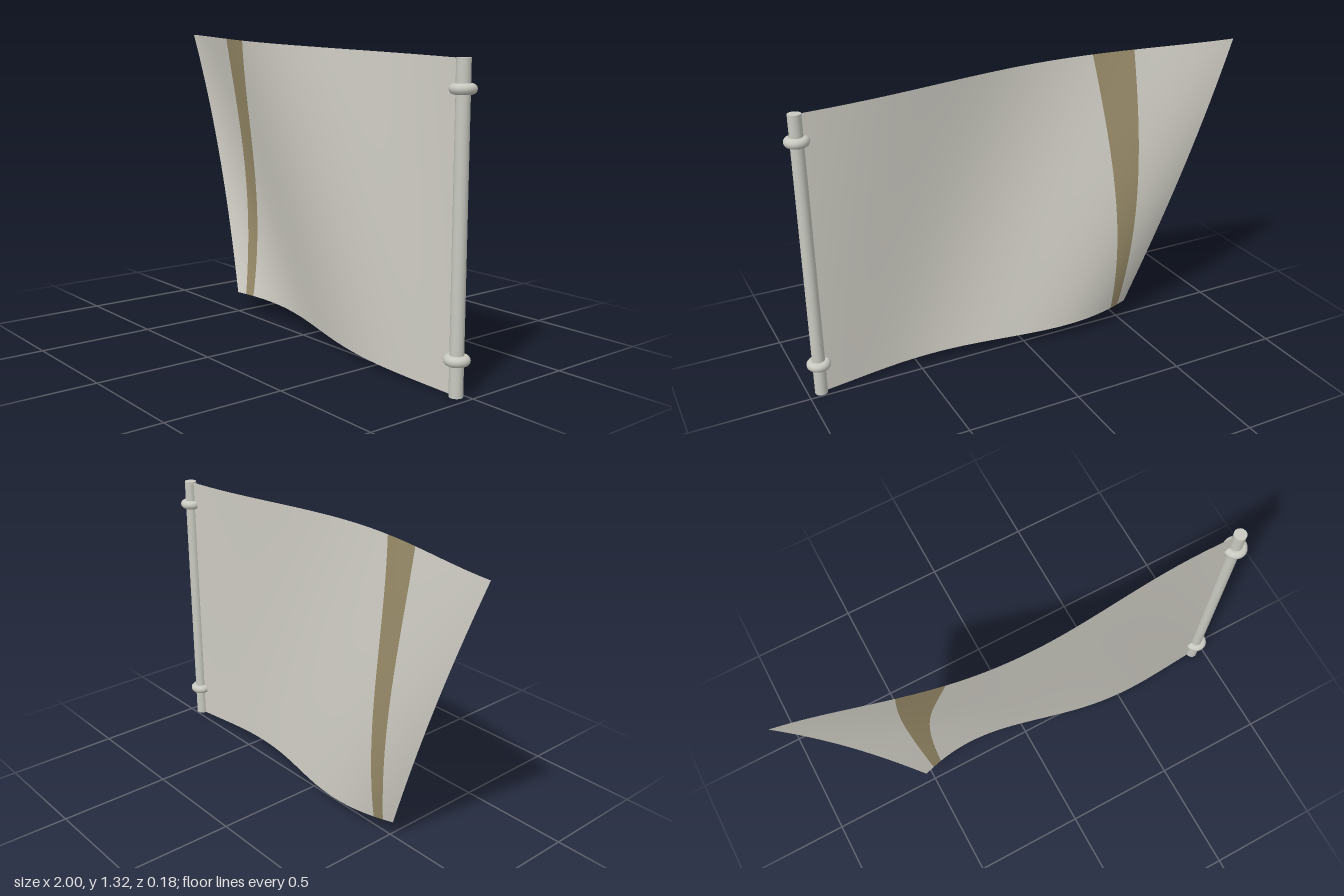
import * as THREE from 'three';

const POLE_X = 0.945, POLE_Z = 0.031, POLE_H = 1.235;

// Point on the waving cloth: u runs from pole to free edge, v from bottom to top
function clothPoint(u, v) {
  const x = POLE_X - u * (1.475 + 0.47 * v);
  const y = v * 1.232 + 0.083 * u;
  const z = POLE_Z + 0.12 * u * Math.sin(5 * u + 0.87 - 1.47 * v);
  return [x, y, z];
}

// Cloth panel between two slanted boundaries, each giving u for a height v
function clothPanel(from, to, columns, rows = 40) {
  const positions = [], index = [];
  for (let i = 0; i <= columns; i++) {
    for (let j = 0; j <= rows; j++) {
      const v = j / rows;
      positions.push(...clothPoint(THREE.MathUtils.lerp(from(v), to(v), i / columns), v));
    }
  }
  for (let i = 0; i < columns; i++) {
    for (let j = 0; j < rows; j++) {
      const a = i * (rows + 1) + j, b = a + rows + 1;
      index.push(a, a + 1, b, b, a + 1, b + 1);
    }
  }
  const geometry = new THREE.BufferGeometry();
  geometry.setAttribute('position', new THREE.Float32BufferAttribute(positions, 3));
  geometry.setIndex(index);
  geometry.computeVertexNormals();
  return geometry;
}

export function createModel() {
  const clothGrey = new THREE.MeshStandardMaterial({ color: 0xcfcdc4, side: THREE.DoubleSide });
  clothGrey.name = 'clothGrey';
  const stripeBrown = new THREE.MeshStandardMaterial({ color: 0x988b69, side: THREE.DoubleSide });
  stripeBrown.name = 'stripeBrown';
  const poleGrey = new THREE.MeshStandardMaterial({ color: 0xc8c9c0 });
  poleGrey.name = 'poleGrey';

  const model = new THREE.Group();
  model.name = 'flag';
  const add = (name, geometry, material, x = 0, y = 0, z = 0) => {
    const mesh = new THREE.Mesh(geometry, material);
    mesh.name = name;
    mesh.position.set(x, y, z);
    model.add(mesh);
    return mesh;
  };

  // Cloth in three panels, the slanted stripe between the two grey ones
  const stripeInner = v => 0.939 - 0.265 * v;
  const stripeOuter = v => 0.969 - 0.2 * v;
  add('clothMain', clothPanel(() => 0, stripeInner, 50), clothGrey);
  add('clothStripe', clothPanel(stripeInner, stripeOuter, 10), stripeBrown);
  add('clothFreeEnd', clothPanel(stripeOuter, () => 1, 16), clothGrey);

  // Pole and the two rings around it
  add('pole', new THREE.CylinderGeometry(0.027, 0.027, POLE_H, 24), poleGrey, POLE_X, POLE_H / 2, POLE_Z);
  const ring = new THREE.TorusGeometry(0.031, 0.02, 14, 32).rotateX(Math.PI / 2);
  add('lowerRing', ring, poleGrey, POLE_X, 0.14, POLE_Z);
  add('upperRing', ring, poleGrey, POLE_X, 1.125, POLE_Z);

  return model;
}
